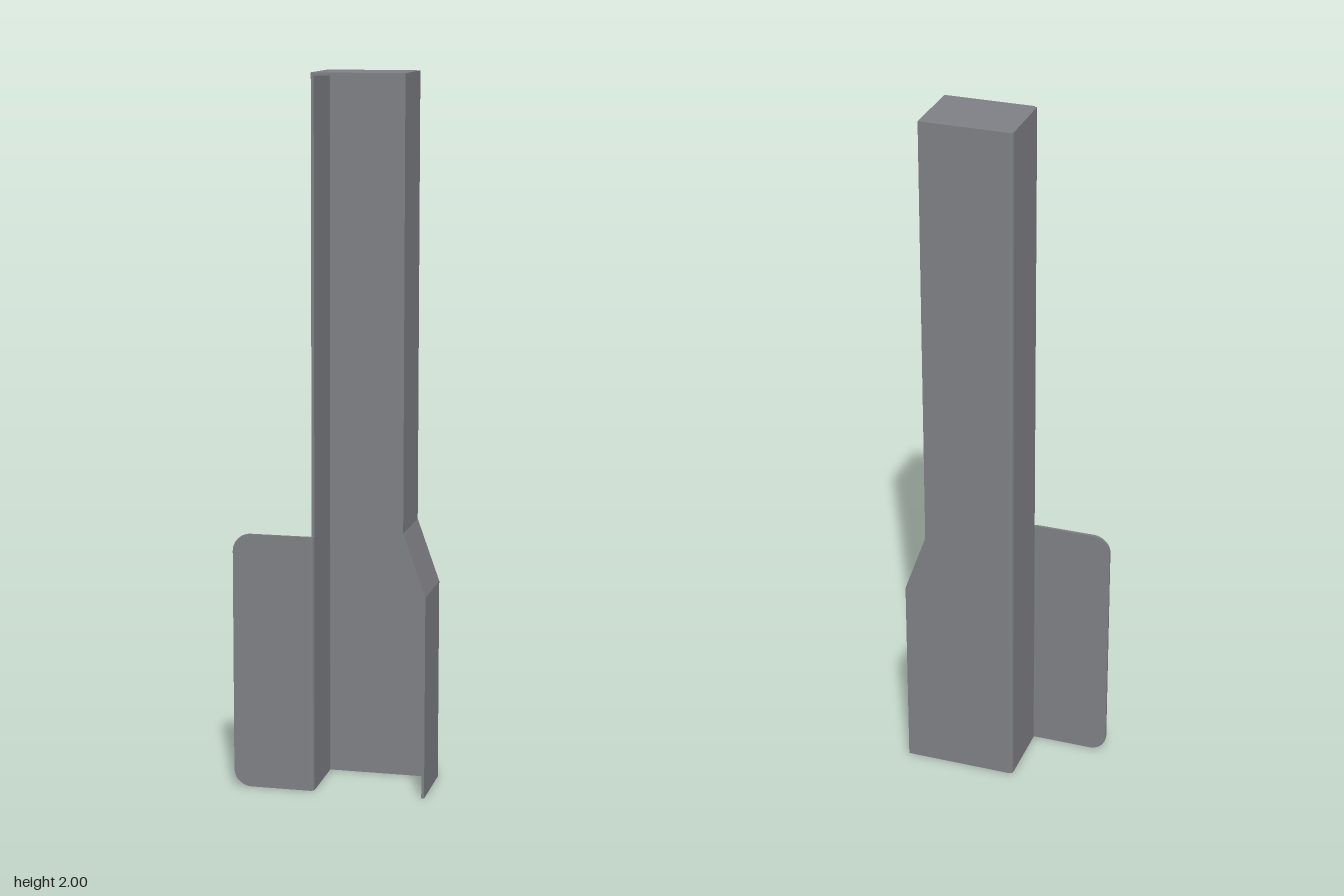
import * as THREE from 'three';

const T = 0.008;            // sheet thickness
const BACK = -0.104, FRONT = 0.096;
const L = -0.05, R = 0.209, FOOT = 0.272, H = 2;
const BEND = 0.012;         // outer bend radius
const FLANGE_H = 0.73;

export function createModel() {
  const group = new THREE.Group();
  group.name = 'sheetMetalChannel';
  const material = new THREE.MeshStandardMaterial({ color: 0x7f8085 });

  const add = (name, geometry) => {
    const mesh = new THREE.Mesh(geometry, material);
    mesh.name = name;
    group.add(mesh);
  };
  const polygon = (points) => new THREE.Shape(points.map(([x, y]) => new THREE.Vector2(x, y)));
  const extrude = (shape, depth) =>
    new THREE.ExtrudeGeometry(shape, { depth, bevelEnabled: false, curveSegments: 6 });
  // Elevation outline, thickened along z
  const elevation = (shape, z0, z1) => extrude(shape, z1 - z0).translate(0, 0, z0);
  // Plan section drawn in (x, -z), raised along y
  const plan = (shape, height) => extrude(shape, height).rotateX(-Math.PI / 2);

  // Back plate, wider at the foot
  add('backPlate', elevation(polygon([
    [L + BEND, 0], [FOOT, 0], [FOOT, 0.575], [R, 0.752], [R, H], [L + BEND, H],
  ]), BACK, BACK + T));

  // Top cap and stepped side wall as one folded strip
  add('topAndSideWall', elevation(polygon([
    [FOOT, 0], [FOOT, 0.575], [R, 0.752], [R, H], [L + T, H],
    [L + T, H - T], [R - T, H - T], [R - T, 0.75], [FOOT - T, 0.573], [FOOT - T, 0],
  ]), BACK + T, FRONT));

  // Straight side wall with its rounded rear fold
  const cx = L + BEND, cv = -BACK - BEND;
  const bendZ = FRONT + T - BEND;
  const wall = new THREE.Shape();
  wall.moveTo(L, -bendZ);
  wall.lineTo(L, cv);
  wall.absarc(cx, cv, BEND, Math.PI, Math.PI / 2, true);
  wall.lineTo(cx, cv + BEND - T);
  wall.absarc(cx, cv, BEND - T, Math.PI / 2, Math.PI, false);
  wall.lineTo(L + T, -bendZ);
  add('foldedSideWall', plan(wall, H));

  // Fold from the wall to the flange
  const fx = L + T - BEND;
  const fold = new THREE.Shape();
  fold.moveTo(L + T, -bendZ);
  fold.absarc(fx, -bendZ, BEND, 0, -Math.PI / 2, true);
  fold.lineTo(fx, -FRONT);
  fold.absarc(fx, -bendZ, BEND - T, -Math.PI / 2, 0, false);
  add('flangeFold', plan(fold, FLANGE_H));

  // Mounting flange with rounded outer corners
  const x0 = -0.273, r = 0.05;
  const flange = new THREE.Shape();
  flange.moveTo(fx, 0);
  flange.lineTo(fx, FLANGE_H);
  flange.lineTo(x0 + r, FLANGE_H);
  flange.absarc(x0 + r, FLANGE_H - r, r, Math.PI / 2, Math.PI, false);
  flange.lineTo(x0, r);
  flange.absarc(x0 + r, r, r, Math.PI, Math.PI * 1.5, false);
  add('mountingFlange', elevation(flange, FRONT, FRONT + T));

  return group;
}
